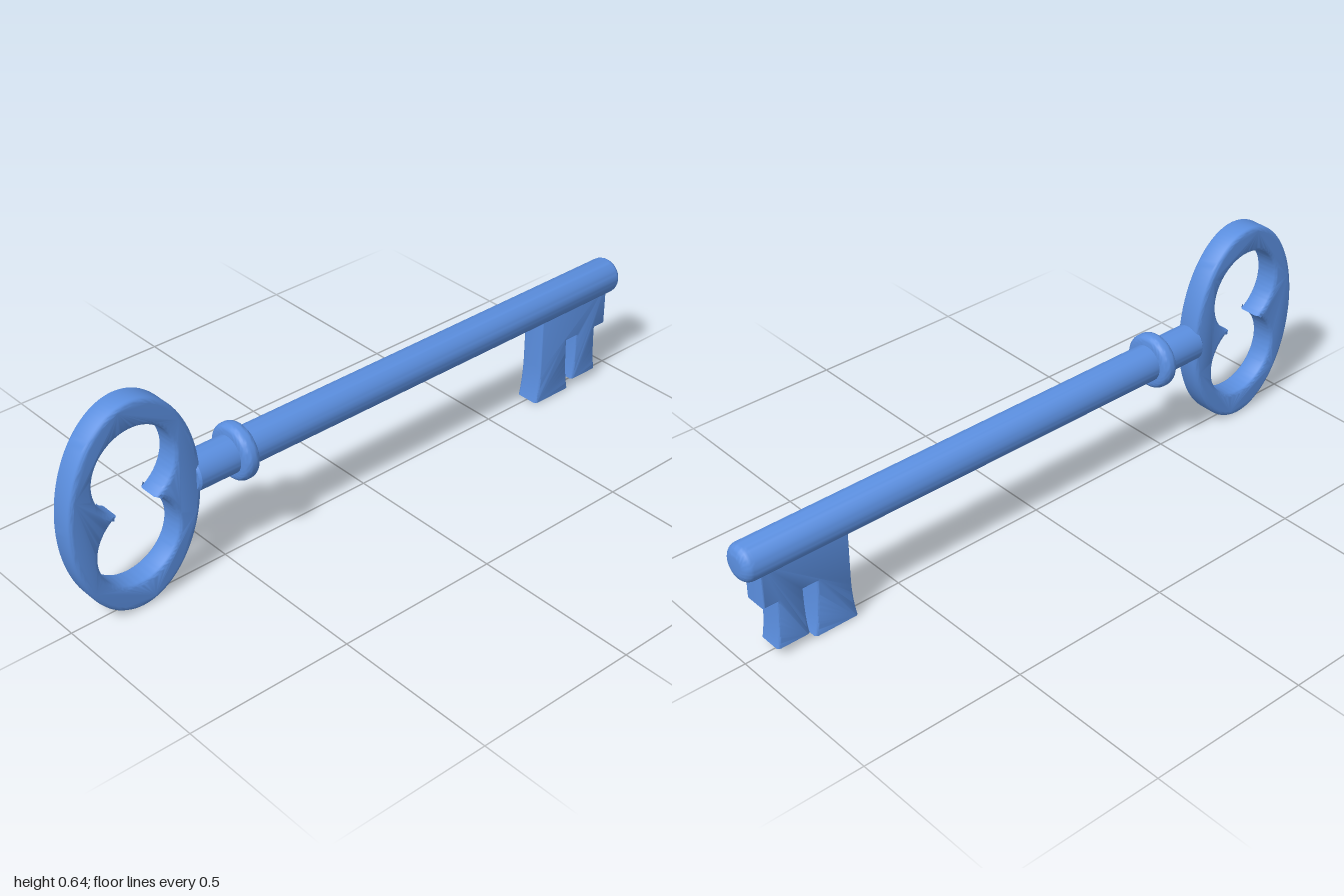
import * as THREE from 'three';
import { toCreasedNormals } from 'three/addons/utils/BufferGeometryUtils.js';

const AXIS_Y = 0.32; // height of the shaft axis

export function createModel() {
  const key = new THREE.Group();
  key.name = 'key';
  const material = new THREE.MeshStandardMaterial({ color: 0x5b8fe0 });

  const add = (name, geometry) => {
    const mesh = new THREE.Mesh(toCreasedNormals(geometry, 0.65), material);
    mesh.name = name;
    key.add(mesh);
    return mesh;
  };

  // Flat plate drawn in (z, y), given a thickness across x and rounded edges
  const plate = (shape, thickness, bevel) => {
    const depth = thickness - 2 * bevel;
    const geometry = new THREE.ExtrudeGeometry(shape, {
      depth, curveSegments: 48, bevelSegments: 4,
      bevelThickness: bevel, bevelSize: bevel, bevelOffset: -bevel,
    });
    return geometry.translate(0, 0, -depth / 2).rotateY(-Math.PI / 2);
  };

  // Round part turned about the shaft axis; the profile holds [radius, z]
  const turned = (profile) =>
    new THREE.LatheGeometry(profile.map(([r, z]) => new THREE.Vector2(r, z)), 48)
      .rotateX(Math.PI / 2).translate(0, AXIS_Y, 0);

  // Quarter or half round of a profile
  const arc = (r, z, radius, from, to, steps = 6) =>
    Array.from({ length: steps + 1 }, (_, i) => {
      const a = from + ((to - from) * i) / steps;
      return [r + radius * Math.cos(a), z + radius * Math.sin(a)];
    });

  // Bow: an oval ring whose opening is two overlapping circles
  const bowZ = 0.795, lobe = 0.126, rise = 0.111;
  const cusp = Math.asin(rise / lobe);
  const bow = new THREE.Shape();
  bow.absellipse(bowZ, AXIS_Y, 0.205, 0.318, 0, Math.PI * 2);
  const opening = new THREE.Path();
  opening.absarc(bowZ, AXIS_Y + rise, lobe, -cusp, Math.PI + cusp, false);
  opening.absarc(bowZ, AXIS_Y - rise, lobe, Math.PI - cusp, Math.PI * 2 + cusp, false);
  opening.closePath();
  bow.holes.push(opening);
  add('bow', plate(bow, 0.076, 0.013));

  // Shaft with a rounded tip
  const R = 0.055, tip = 0.03;
  add('shaft', turned([
    [0, -1], ...arc(R - tip, -1 + tip, tip, -Math.PI / 2, 0),
    [R, 0.602], [R - 0.006, 0.608], [0, 0.608],
  ]));

  // Collar ring with rounded rims
  const rim = 0.02;
  add('collar', turned([
    [0.04, 0.425],
    ...arc(0.083 - rim, 0.425 + rim, rim, -Math.PI / 2, 0),
    ...arc(0.083 - rim, 0.475 - rim, rim, 0, Math.PI / 2),
    [0.04, 0.475],
  ]));

  // Bit: flared wide tooth, slot, flared narrow tooth and a stepped shoulder
  const bit = new THREE.Shape();
  bit.moveTo(-0.677, AXIS_Y);
  bit.lineTo(-0.677, 0.13);
  bit.quadraticCurveTo(-0.676, 0.06, -0.663, 0.004);
  bit.lineTo(-0.803, 0.004);
  bit.quadraticCurveTo(-0.788, 0.06, -0.787, 0.178);
  bit.lineTo(-0.828, 0.178);
  bit.quadraticCurveTo(-0.828, 0.08, -0.818, 0.027);
  bit.lineTo(-0.921, 0.027);
  bit.quadraticCurveTo(-0.91, 0.08, -0.91, 0.176);
  bit.lineTo(-0.952, 0.176);
  bit.lineTo(-0.952, AXIS_Y);
  bit.closePath();
  add('bit', plate(bit, 0.076, 0.008));

  return key;
}
